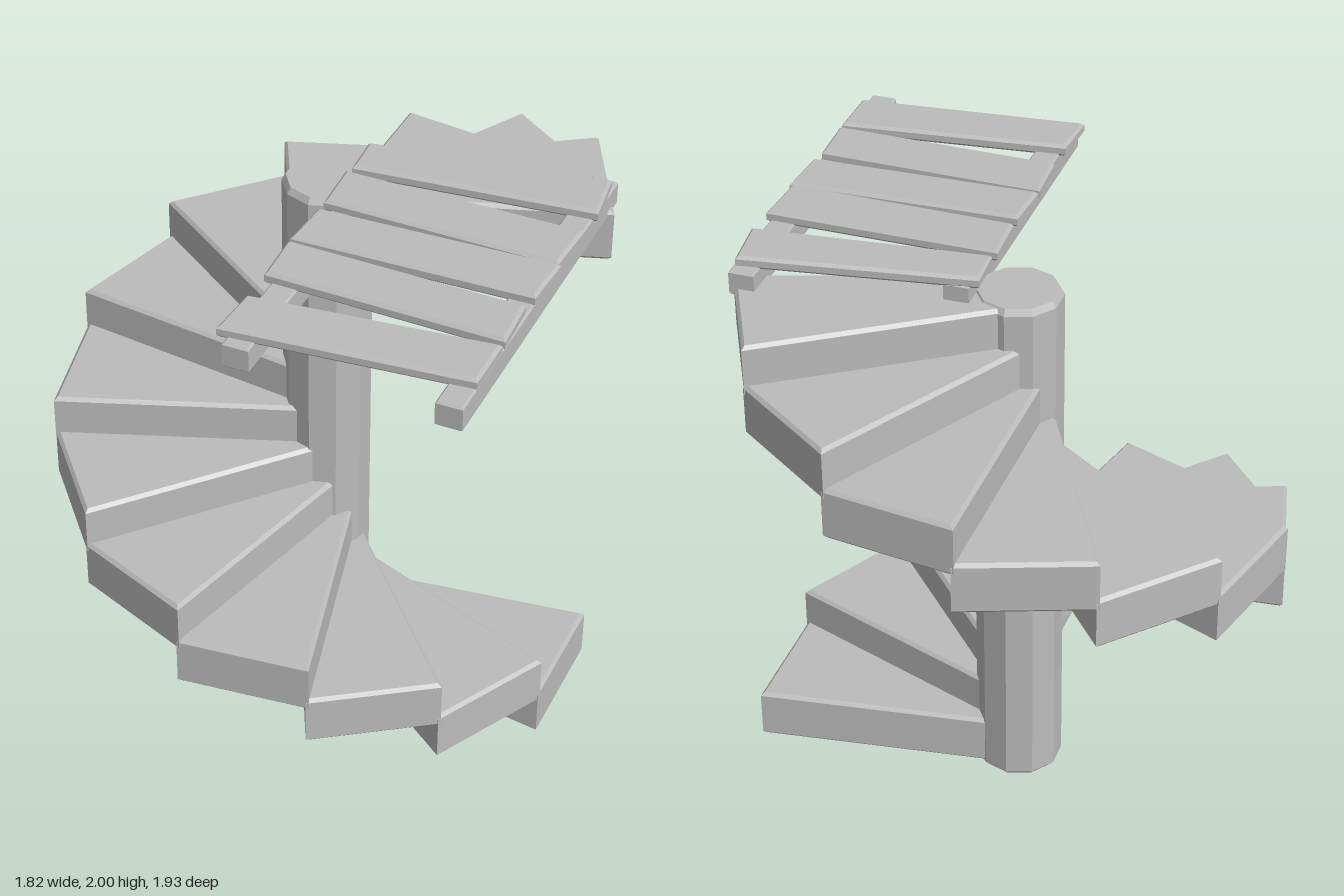
import * as THREE from 'three';

const stone = new THREE.MeshStandardMaterial({ color: 0xbcbcbc, flatShading: true });
stone.name = 'pale grey';

// Bevelled slab from a plan outline of [x, z] corners
function slab(name, outline, bottom, top, bevel) {
  const shape = new THREE.Shape(outline.map(([x, z]) => new THREE.Vector2(x, z)));
  const geometry = new THREE.ExtrudeGeometry(shape, {
    depth: top - bottom - 2 * bevel,
    bevelThickness: bevel, bevelSize: bevel, bevelOffset: -bevel, bevelSegments: 1,
  });
  geometry.rotateX(Math.PI / 2);
  geometry.translate(0, top - bevel, 0);
  const mesh = new THREE.Mesh(geometry, stone);
  mesh.name = name;
  return mesh;
}

export function createModel() {
  const model = new THREE.Group();
  model.name = 'spiralStaircase';
  const centreZ = -0.05;

  // Central column with chamfered ends
  const profile = [[0, 0], [0.13, 0], [0.148, 0.02], [0.148, 1.89], [0.135, 1.912], [0, 1.912]];
  const column = new THREE.Mesh(
    new THREE.LatheGeometry(profile.map(([r, y]) => new THREE.Vector2(r, y)), 10), stone);
  column.position.z = centreZ;
  column.name = 'column';
  model.add(column);

  // Wedge treads winding upward around the column
  const treads = new THREE.Group();
  treads.name = 'treads';
  const turn = THREE.MathUtils.degToRad(27.8);
  const start = THREE.MathUtils.degToRad(13.8);
  // Point at a radius along an angle, shifted sideways towards lower treads
  const at = (angle, radius, shift) => [
    radius * Math.cos(angle) - shift * Math.sin(angle),
    centreZ - radius * Math.sin(angle) - shift * Math.cos(angle),
  ];
  for (let i = 0; i < 13; i++) {
    const a = start - i * turn;
    const b = a - turn;
    const bottom = 0.02 + i * 0.1417;
    const outline = [at(a, 0.09, 0.095), at(a, 0.92, 0.005), at(b, 0.92, -0.005), at(b, 0.09, -0.095)];
    treads.add(slab('tread', outline, bottom, bottom + 0.185, 0.012));
  }
  model.add(treads);

  // Landing: two beams carrying five uneven planks
  const landing = new THREE.Group();
  landing.name = 'landing';
  for (const [x, back] of [[0.165, -0.18], [0.835, -0.325]]) {
    const outline = [[x - 0.043, back], [x + 0.043, back], [x + 0.043, 0.965], [x - 0.043, 0.965]];
    landing.add(slab('beam', outline, 1.88, 1.965, 0.006));
  }
  const planks = [
    [[0.09, -0.17], [0.87, -0.285], [0.895, -0.09], [0.10, -0.015]],
    [[0.09, 0.01], [0.89, 0.02], [0.88, 0.22], [0.10, 0.20]],
    [[0.10, 0.24], [0.89, 0.22], [0.88, 0.41], [0.09, 0.425]],
    [[0.09, 0.44], [0.87, 0.46], [0.88, 0.65], [0.10, 0.63]],
    [[0.10, 0.75], [0.88, 0.67], [0.88, 0.865], [0.09, 0.935]],
  ];
  for (const outline of planks) landing.add(slab('plank', outline, 1.955, 1.997, 0.01));
  model.add(landing);

  return model;
}
